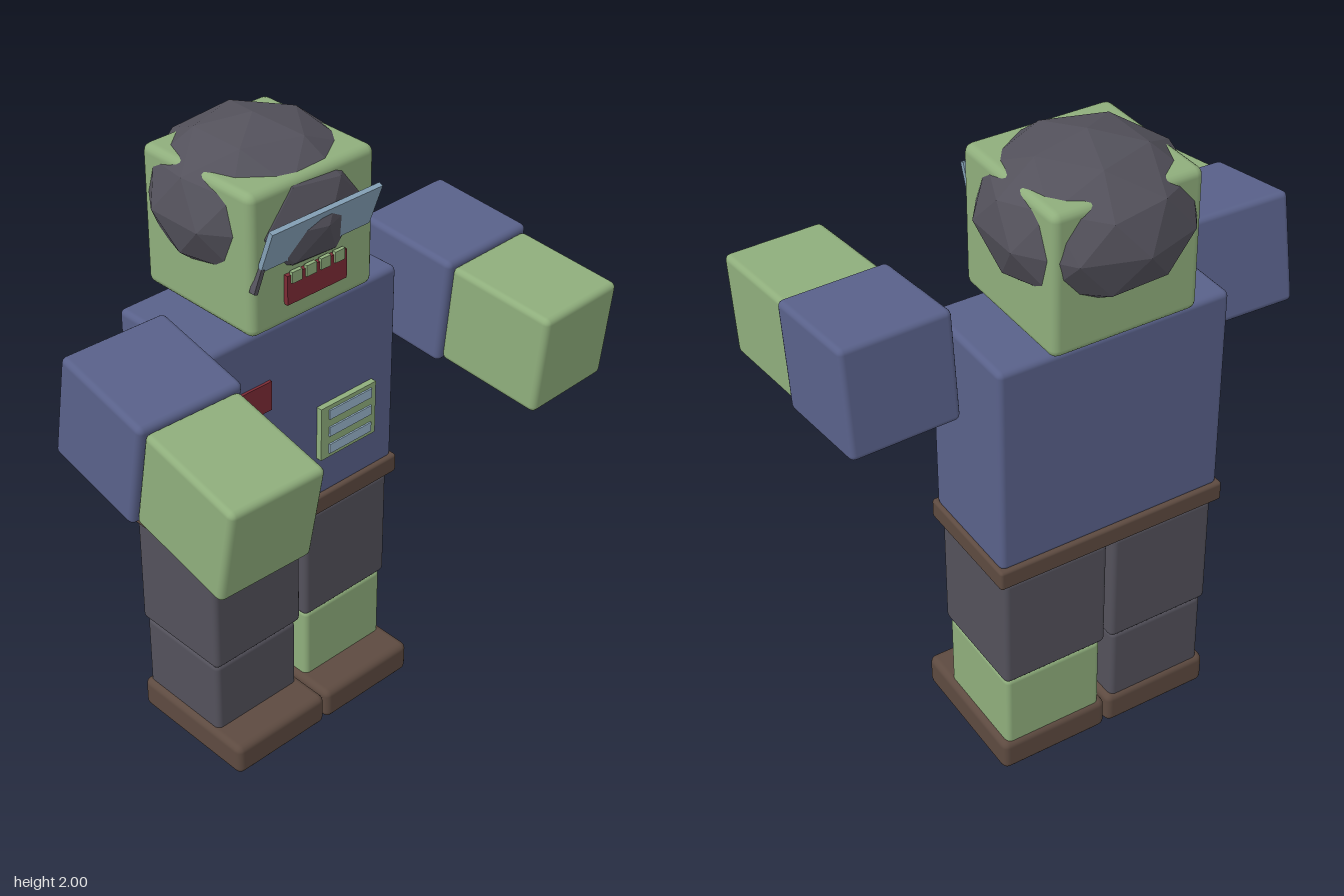
import * as THREE from 'three';
import { RoundedBoxGeometry } from 'three/addons/geometries/RoundedBoxGeometry.js';

const paint = (name, color) => {
  const m = new THREE.MeshStandardMaterial({ color });
  m.name = name;
  return m;
};

export function createModel() {
  const model = new THREE.Group();
  model.name = 'blockyUndeadFigure';

  const skin = paint('skin green', 0x8fae7c);
  const shirt = paint('shirt blue', 0x59618a);
  const cloth = paint('charcoal', 0x53515b);
  const leather = paint('leather brown', 0x5d4a40);
  const red = paint('dark red', 0x7c2b35);
  const glass = paint('glass blue', 0x84a0b6);
  const pale = paint('pale blue', 0x9ab6cc);

  const add = (parent, name, geometry, material, x, y, z) => {
    const mesh = new THREE.Mesh(geometry, material);
    mesh.name = name;
    mesh.position.set(x, y, z);
    parent.add(mesh);
    return mesh;
  };
  const block = (parent, name, material, [w, h, d], [x, y, z], r = 0.018) =>
    add(parent, name, new RoundedBoxGeometry(w, h, d, 2, r), material, x, y, z);
  const plate = (parent, name, material, [w, h, d], [x, y, z]) =>
    add(parent, name, new THREE.BoxGeometry(w, h, d), material, x, y, z);

  // Torso and belt
  block(model, 'torso', shirt, [0.73, 0.67, 0.36], [0, 1.135, -0.2]);
  block(model, 'belt', leather, [0.75, 0.065, 0.385], [0, 0.777, -0.2], 0.01);
  plate(model, 'shirtTail', shirt, [0.03, 0.09, 0.2], [0, 0.705, -0.2]);

  // Chest patch and striped panel
  plate(model, 'chestPatch', red, [0.11, 0.095, 0.009], [-0.185, 1.253, -0.016]);
  plate(model, 'panel', skin, [0.22, 0.18, 0.02], [0.16, 1.035, -0.011]);
  for (let i = 0; i < 3; i++) {
    plate(model, 'panelStripe', pale, [0.17, 0.032, 0.006], [0.165, 0.975 + i * 0.06, 0.001]);
  }

  // Legs: the left shin is bare
  for (const s of [-1, 1]) {
    const leg = new THREE.Group();
    leg.name = s > 0 ? 'leftLeg' : 'rightLeg';
    model.add(leg);
    block(leg, 'thigh', cloth, [0.345, 0.385, 0.35], [s * 0.181, 0.548, -0.2]);
    block(leg, 'shin', s > 0 ? skin : cloth, [0.325, 0.275, 0.33], [s * 0.183, 0.218, -0.2]);
    block(leg, 'shoe', leather, [0.36, 0.107, 0.455], [s * 0.183, 0.0535, -0.148], 0.022);
  }

  // Arms reaching forward, each drooping by its own angle
  for (const [s, y, droop] of [[1, 1.38, 0.09], [-1, 1.367, 0.19]]) {
    const arm = new THREE.Group();
    arm.name = s > 0 ? 'leftArm' : 'rightArm';
    arm.position.set(s * 0.553, y, -0.031);
    arm.rotation.set(droop, s * 0.033, 0, 'YXZ');
    model.add(arm);
    block(arm, 'sleeve', shirt, [0.338, 0.34, 0.34], [0, 0, 0]);
    block(arm, 'forearm', skin, [0.307, 0.315, 0.35], [0, -0.002, 0.342]);
  }

  // Head
  const head = new THREE.Group();
  head.name = 'head';
  model.add(head);
  block(head, 'skull', skin, [0.455, 0.43, 0.44], [0, 1.7, -0.2], 0.025);

  // Faceted hair, turned so one corner points up
  const hair = new THREE.IcosahedronGeometry(1, 1);
  hair.rotateZ(-Math.atan(2 / (1 + Math.sqrt(5))));
  hair.scale(0.3, 0.225, 0.3);
  hair.computeVertexNormals();
  add(head, 'hair', hair, cloth, 0, 1.775, -0.22);

  // Tilted glasses with a loose arm end
  const lens = plate(head, 'glasses', glass, [0.4, 0.14, 0.015], [0, 1.757, 0.045]);
  lens.rotation.x = 0.35;
  const hook = plate(head, 'glassesArm', cloth, [0.014, 0.07, 0.02], [-0.208, 1.665, 0.022]);
  hook.rotation.z = -0.4;

  // Mouth with upper teeth
  plate(head, 'mouth', red, [0.22, 0.09, 0.016], [0, 1.6, 0.026]);
  for (let i = 0; i < 4; i++) {
    plate(head, 'tooth', skin, [0.036, 0.034, 0.012], [-0.08 + i * 0.053, 1.638, 0.034]);
  }

  return model;
}
